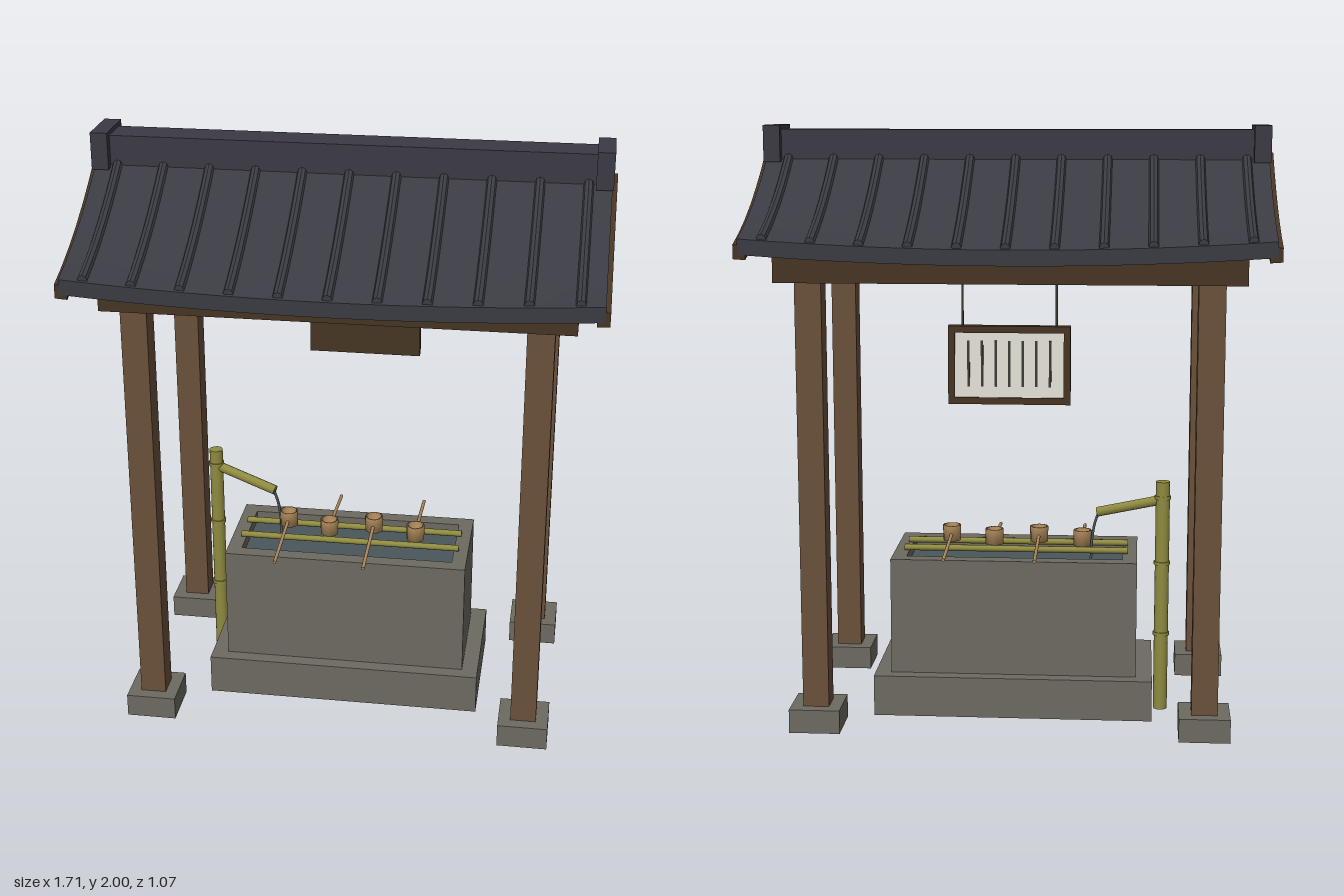
import * as THREE from 'three';

const mat = (name, color, opts = {}) => {
  const m = new THREE.MeshStandardMaterial({ color, ...opts });
  m.name = name;
  return m;
};

export function createModel() {
  const M = {
    post: mat('post wood', 0x6a503a),
    beam: mat('dark wood', 0x463522),
    tile: mat('roof tile', 0x3a3b42, { flatShading: true }),
    ridge: mat('ridge tile', 0x3b3a45),
    stone: mat('stone', 0x6d6a61),
    deep: mat('deep stone', 0x3c3a36),
    bamboo: mat('bamboo', 0x8f8b40),
    ladle: mat('ladle wood', 0xb08b5c, { side: THREE.DoubleSide }),
    paper: mat('paper', 0xe8e4da),
    water: mat('water', 0x4a565c),
  };
  const model = new THREE.Group();
  model.name = 'waterPavilion';

  const add = (name, geo, material, x = 0, y = 0, z = 0) => {
    const mesh = new THREE.Mesh(geo, material);
    mesh.name = name;
    mesh.position.set(x, y, z);
    model.add(mesh);
    return mesh;
  };
  const box = (name, material, w, h, d, x, y, z) =>
    add(name, new THREE.BoxGeometry(w, h, d), material, x, y, z);
  // round rod between two points
  const rod = (name, material, a, b, r, sides = 10) => {
    const from = new THREE.Vector3(...a), dir = new THREE.Vector3(...b).sub(from);
    const mesh = add(name, new THREE.CylinderGeometry(r, r, dir.length(), sides), material);
    mesh.position.copy(from).addScaledVector(dir, 0.5);
    mesh.quaternion.setFromUnitVectors(new THREE.Vector3(0, 1, 0), dir.normalize());
    return mesh;
  };
  // rectangular ring standing on y = 0
  const frame = (w, d, iw, id, h) => {
    const rect = (P, a, b) => new P([[-a, -b], [a, -b], [a, b], [-a, b]]
      .map(([x, y]) => new THREE.Vector2(x / 2, y / 2)));
    const shape = rect(THREE.Shape, w, d);
    shape.holes.push(rect(THREE.Path, iw, id));
    return new THREE.ExtrudeGeometry(shape, { depth: h, bevelEnabled: false }).rotateX(-Math.PI / 2);
  };
  // flat shape in the zy plane, centred on x = 0
  const plate = (points, t) => new THREE.ExtrudeGeometry(
    new THREE.Shape(points.map(([z, y]) => new THREE.Vector2(z, y))),
    { depth: t, bevelEnabled: false }).translate(0, 0, -t / 2).rotateY(Math.PI / 2);

  // roof curve: concave slope with lifted eave corners
  const roofY = (x, z) => {
    const a = Math.abs(z);
    return 1.93 - 0.75 * a + 0.33 * a * a + 0.03 * (x / 0.84) ** 2 * (a / 0.53) ** 2;
  };
  const bend = (geo) => {
    const p = geo.attributes.position;
    for (let i = 0; i < p.count; i++) p.setY(i, p.getY(i) + roofY(p.getX(i), p.getZ(i)));
    geo.computeVertexNormals();
    return geo;
  };

  // posts on hollow stone footings
  for (const x of [-0.648, 0.648]) for (const z of [-0.345, 0.345]) {
    add('footing', frame(0.17, 0.17, 0.075, 0.075, 0.08), M.stone, x, 0, z);
    box('post', M.post, 0.087, 1.46, 0.087, x, 0.79, z);
  }

  // beams and gables
  for (const s of [-1, 1]) {
    box('longBeam', M.beam, 1.52, 0.1, 0.1, 0, 1.553, s * 0.345);
    box('crossBeam', M.beam, 0.09, 0.1, 0.78, s * 0.648, 1.553, 0);
    add('gablePanel', plate([[-0.355, 1.6], [0.355, 1.6], [0, 1.85]], 0.04), M.post, s * 0.648);
    box('kingPost', M.beam, 0.07, 0.27, 0.056, s * 0.648, 1.735, 0);
    add('bargeBoard', bend(new THREE.BoxGeometry(0.04, 0.045, 1.06, 1, 1, 12)
      .translate(s * 0.835, -0.043, 0)), M.beam);
    add('gablePendant', plate([[-0.042, 1.845], [0, 1.715], [0.042, 1.845], [0, 1.875]], 0.03),
      M.beam, s * 0.835);
  }
  box('ridgeBeam', M.beam, 1.6, 0.05, 0.056, 0, 1.855, 0);

  // tiled roof with ribs
  add('roof', bend(new THREE.BoxGeometry(1.68, 0.05, 1.066, 16, 1, 12).translate(0, -0.025, 0)), M.tile);
  for (let i = -5; i <= 5; i++) for (const s of [-1, 1]) {
    add('roofRib', bend(new THREE.CylinderGeometry(0.016, 0.016, 0.475, 8, 8)
      .rotateX(Math.PI / 2).translate(i * 0.153, 0.002, s * 0.288)), M.tile);
  }
  box('ridge', M.ridge, 1.6, 0.115, 0.12, 0, 1.928, 0);
  for (const s of [-1, 1]) box('ridgeEnd', M.ridge, 0.056, 0.122, 0.18, s * 0.816, 1.939, 0);

  // stone basin
  add('basinBase', frame(0.95, 0.474, 0.8, 0.34, 0.14), M.stone);
  add('basinWall', frame(0.84, 0.38, 0.74, 0.28, 0.4), M.stone, 0, 0.14);
  box('basinFloor', M.deep, 0.78, 0.04, 0.32, 0, 0.165, 0);
  box('basinWater', M.water, 0.75, 0.01, 0.29, 0, 0.5, 0);

  // bamboo rests and ladles
  for (const s of [-1, 1])
    rod('ladleRest', M.bamboo, [-0.387, 0.55, s * 0.055], [0.387, 0.55, s * 0.055], 0.011);
  for (let i = 0; i < 4; i++) {
    const x = -0.23 + i * 0.1533, s = i % 2 ? -1 : 1;
    const cup = [[0, 0], [0.031, 0], [0.032, 0.054], [0.026, 0.054], [0.025, 0.008], [0, 0.008]];
    add('ladleCup', new THREE.LatheGeometry(cup.map((c) => new THREE.Vector2(...c)), 12),
      M.ladle, x, 0.56, -s * 0.023);
    rod('ladleHandle', M.ladle, [x, 0.583, s * 0.006], [x, 0.561, s * 0.267], 0.006, 8);
  }

  // bamboo spout with running water
  rod('spoutPole', M.bamboo, [-0.505, 0, -0.093], [-0.505, 0.805, -0.093], 0.024, 12);
  for (const y of [0.27, 0.52, 0.75])
    rod('poleNode', M.bamboo, [-0.505, y - 0.006, -0.093], [-0.505, y + 0.006, -0.093], 0.028, 12);
  rod('spout', M.bamboo, [-0.505, 0.742, -0.093], [-0.282, 0.683, -0.04], 0.017);
  const stream = new THREE.CatmullRomCurve3([[-0.286, 0.682], [-0.272, 0.64], [-0.262, 0.57], [-0.26, 0.5]]
    .map(([x, y]) => new THREE.Vector3(x, y, -0.037)));
  add('waterStream', new THREE.TubeGeometry(stream, 10, 0.005, 6), M.water);

  // hanging notice board, its face to the back
  box('boardPanel', M.beam, 0.396, 0.255, 0.025, 0, 1.238, -0.34);
  for (const s of [-1, 1]) {
    box('boardFrameRail', M.beam, 0.396, 0.022, 0.012, 0, 1.238 + s * 0.1165, -0.357);
    box('boardFrameSide', M.beam, 0.022, 0.255, 0.012, s * 0.187, 1.238, -0.357);
    rod('boardCord', M.deep, [s * 0.152, 1.36, -0.34], [s * 0.152, 1.51, -0.34], 0.004, 6);
  }
  box('boardPaper', M.paper, 0.352, 0.211, 0.006, 0, 1.238, -0.3545);
  for (let i = -3; i <= 3; i++)
    box('boardStripe', M.deep, 0.008, 0.15, 0.003, i * 0.044, 1.243, -0.3585);

  return model;
}
